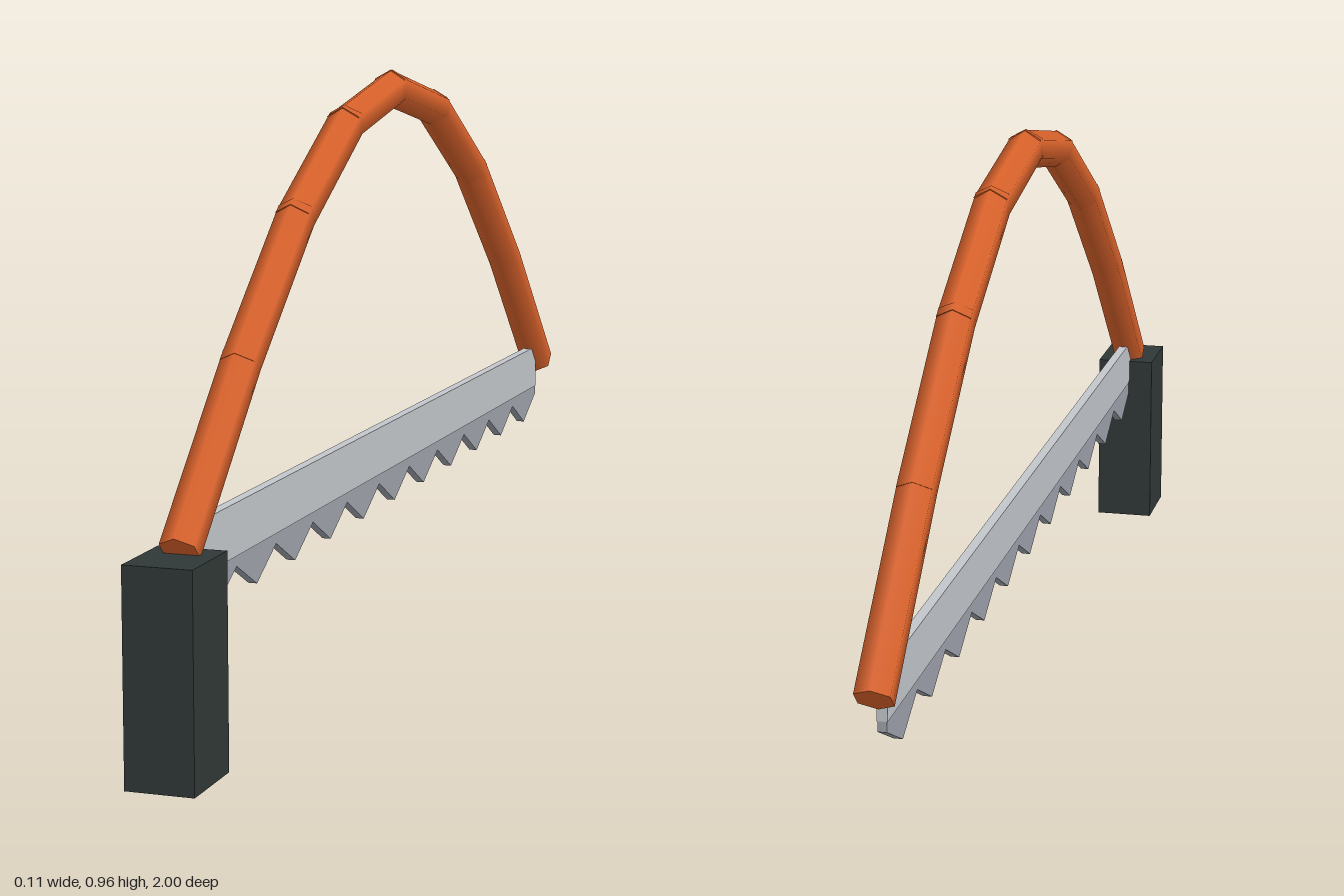
import * as THREE from 'three';

const frameOrange = new THREE.MeshStandardMaterial({ color: 0xd9622b });
frameOrange.name = 'frame orange';
const gripDark = new THREE.MeshStandardMaterial({ color: 0x2f3836 });
gripDark.name = 'grip dark';
const bladeSteel = new THREE.MeshStandardMaterial({ color: 0xc2c6ca });
bladeSteel.name = 'blade steel';
const toothSteel = new THREE.MeshStandardMaterial({ color: 0x9da1aa });
toothSteel.name = 'tooth steel';

function addMesh(parent, name, geometry, material, x = 0, y = 0, z = 0) {
  const mesh = new THREE.Mesh(geometry, material);
  mesh.name = name;
  mesh.position.set(x, y, z);
  parent.add(mesh);
  return mesh;
}

// Bow frame: straight six-sided rods that overlap slightly at the joints
function createBow() {
  const bow = new THREE.Group();
  bow.name = 'bowFrame';
  const segments = 8, frontZ = 0.91, backZ = -0.97;
  const joint = (i) => {
    const t = i / segments;
    return new THREE.Vector3(0, 0.335 + 0.59 * Math.sin(Math.PI * t), frontZ + (backZ - frontZ) * t);
  };
  for (let i = 0; i < segments; i++) {
    const a = joint(i), b = joint(i + 1);
    const mid = a.clone().add(b).multiplyScalar(0.5);
    const rod = new THREE.CylinderGeometry(0.031, 0.031, a.distanceTo(b) + 0.02, 6);
    const mesh = addMesh(bow, 'bowRod' + (i + 1), rod, frameOrange, 0, mid.y, mid.z);
    mesh.rotation.x = Math.atan2(b.z - a.z, b.y - a.y);
  }
  return bow;
}

// Saw teeth: one zigzag strip along the lower edge of the blade
function createTeeth() {
  const count = 11, pitch = 0.1655, start = -0.938, thickness = 0.014;
  const top = 0.28, valley = 0.264, tip = 0.22;
  const end = start + count * pitch;
  const shape = new THREE.Shape();
  shape.moveTo(end, top);
  shape.lineTo(start, top);
  shape.lineTo(start, valley);
  for (let i = 0; i < count; i++) {
    shape.lineTo(start + (i + 0.5) * pitch, tip);
    shape.lineTo(start + (i + 1) * pitch, valley);
  }
  const geometry = new THREE.ExtrudeGeometry(shape, { depth: thickness, bevelEnabled: false });
  geometry.translate(0, 0, -thickness / 2);
  geometry.rotateY(-Math.PI / 2);
  return geometry;
}

export function createModel() {
  const saw = new THREE.Group();
  saw.name = 'bowSaw';
  addMesh(saw, 'handle', new THREE.BoxGeometry(0.106, 0.323, 0.13), gripDark, 0, 0.1615, 0.935);
  addMesh(saw, 'blade', new THREE.BoxGeometry(0.016, 0.08, 1.82), bladeSteel, 0, 0.32, -0.028);
  addMesh(saw, 'teeth', createTeeth(), toothSteel);
  saw.add(createBow());
  return saw;
}
